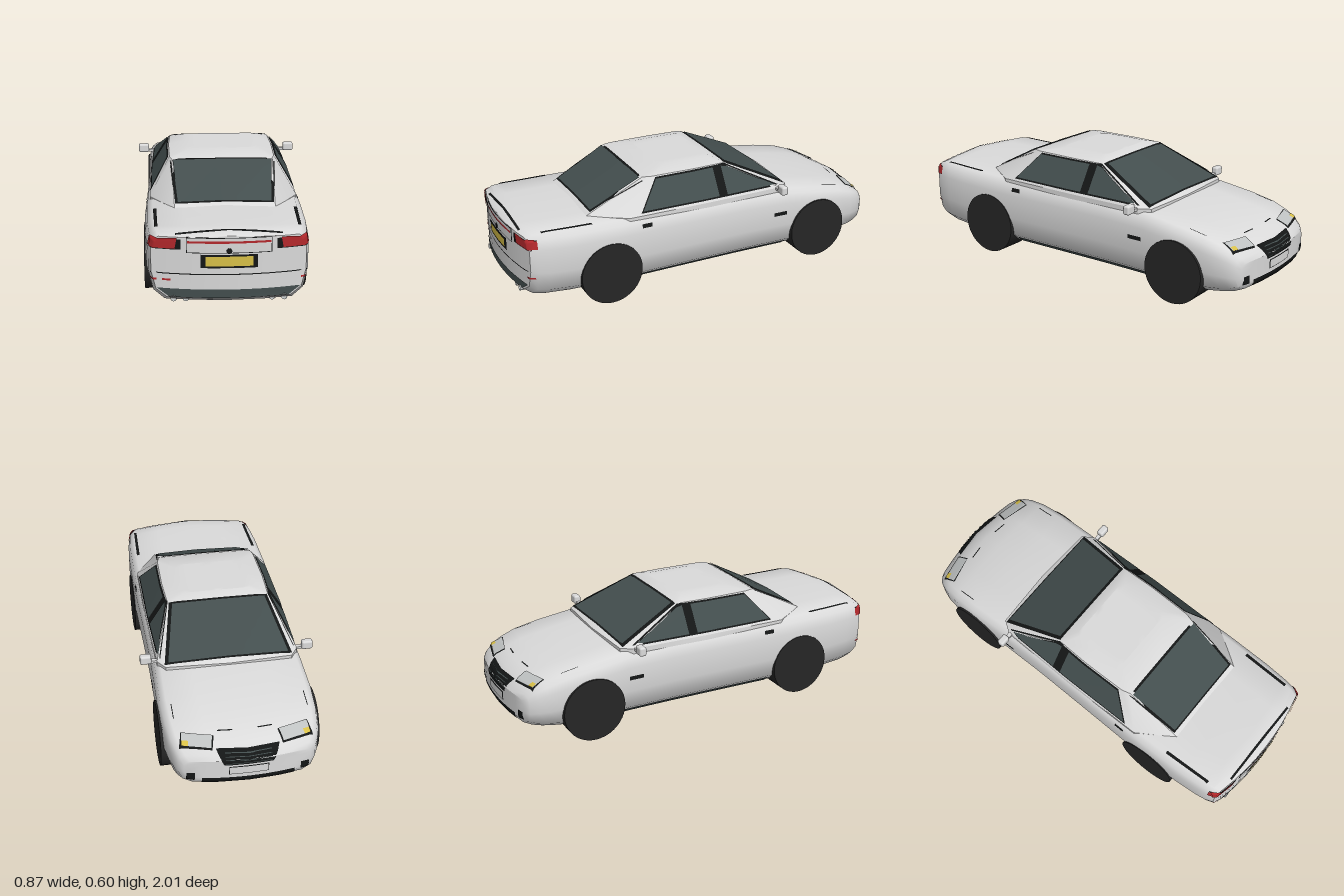
import * as THREE from 'three';
import { mergeGeometries, toCreasedNormals } from 'three/addons/utils/BufferGeometryUtils.js';
import { RoundedBoxGeometry } from 'three/addons/geometries/RoundedBoxGeometry.js';

const paint = (name, color) => {
  const m = new THREE.MeshStandardMaterial({ color, side: THREE.DoubleSide });
  m.name = name;
  return m;
};

// Surface through rows of [x, y, z] points
function grid(rows) {
  const n = rows[0].length, index = [];
  for (let i = 0; i < rows.length - 1; i++)
    for (let j = 0; j < n - 1; j++) {
      const a = i * n + j, d = a + n;
      index.push(a, a + 1, d + 1, a, d + 1, d);
    }
  const g = new THREE.BufferGeometry();
  g.setAttribute('position', new THREE.Float32BufferAttribute(rows.flat(2), 3));
  g.setIndex(index);
  return g;
}

// Closed loop from a half outline that starts and ends on the centre line
const mirrorLoop = half => [...half, ...half.slice(0, -1).reverse().map(([x, y, z]) => [-x, y, z])];

// Row of points across the car between a point and its mirror image
const across = ([x, y, z]) => Array.from({ length: 9 }, (_, k) => [x * (k / 4 - 1), y, z]);

// Rounds the ends of the car in plan
const bow = ([x, y, z]) => {
  const fade = Math.min(1, Math.max(0, (Math.abs(z) - 0.7) / 0.25));
  return [x, y, z - Math.sign(z) * 0.38 * x * x * fade];
};

function bodyGeometry() {
  // z, half width, top, bottom from nose to tail
  const stations = [
    [-1, 0.30, 0.255, 0.14], [-0.985, 0.325, 0.28, 0.115], [-0.95, 0.345, 0.312, 0.1],
    [-0.9, 0.36, 0.335, 0.09], [-0.8, 0.373, 0.365, 0.078], [-0.65, 0.38, 0.39, 0.075],
    [-0.45, 0.376, 0.42, 0.075], [-0.2, 0.373, 0.43, 0.075], [0.1, 0.377, 0.432, 0.075],
    [0.5, 0.384, 0.434, 0.075], [0.75, 0.38, 0.437, 0.08], [0.9, 0.371, 0.44, 0.088],
    [0.965, 0.363, 0.438, 0.1], [1, 0.35, 0.424, 0.125],
  ];
  const halves = stations.map(([z, w, t, b]) => {
    const h = t - b;
    return [
      [0, b], [0.45 * w, b], [0.8 * w, b], [0.94 * w, b + 0.12 * h], [w, b + 0.4 * h],
      [w, t - 0.25 * h], [0.97 * w, t - 0.1 * h], [0.9 * w, t - 0.035 * h],
      [0.5 * w, t - 0.008], [0, t],
    ].map(([x, y]) => [x, y, z]);
  });
  const shell = grid(halves.map(h => mirrorLoop(h).map(bow)));
  const tail = grid(halves.at(-1).map(p => across(p).map(bow)));
  const nose = grid(halves[0].map(p => across(p).map(bow).reverse()));
  return toCreasedNormals(mergeGeometries([shell, tail, nose]), 0.75);
}

function cabinGeometry() {
  const base = [[0, 0.64], [0.24, 0.625], [0.36, 0.44], [0.362, 0.0], [0.352, -0.41], [0.315, -0.465], [0, -0.48]];
  const rail = [[0, 0.33], [0.25, 0.325], [0.262, 0.28], [0.266, 0.05], [0.26, -0.11], [0.245, -0.13], [0, -0.135]];
  const crown = [[0, 0.2], [0.16, 0.2], [0.18, 0.17], [0.185, 0.05], [0.18, -0.06], [0.165, -0.08], [0, -0.08]];
  const lift = (pts, y) => pts.map(([x, z]) => [x, y, z]);
  const halves = [lift(base, 0.37), lift(base, 0.424), lift(rail, 0.58), lift(crown, 0.6)];
  const roof = grid(halves.at(-1).map(across));
  return toCreasedNormals(mergeGeometries([grid(halves.map(mirrorLoop)), roof]), 0.55);
}

export function createModel() {
  const car = new THREE.Group();
  car.name = 'car';
  const body = paint('bodyPaint', 0xdadada), glass = paint('tintedGlass', 0x434e4e);
  const black = paint('blackTrim', 0x141616), rubber = paint('tyreRubber', 0x262626);
  const red = paint('redLens', 0xb4282c), yellow = paint('yellowPlate', 0xd8c048);
  const lens = paint('clearLens', 0xbfc2c2);

  const add = (name, geometry, material, x = 0, y = 0, z = 0) => {
    const m = new THREE.Mesh(geometry, material);
    m.name = name;
    m.position.set(x, y, z);
    car.add(m);
    return m;
  };
  const shells = [add('body', bodyGeometry(), body), add('cabin', cabinGeometry(), body)];

  // Thin patch laid on the shells; corners are (x,y) at the ends, (z,y) on the sides, (x,z) on top
  const views = {
    tail: (u, v) => [[u, v, 3], [0, 0, -1]],
    nose: (u, v) => [[u, v, -3], [0, 0, 1]],
    left: (u, v) => [[3, v, u], [-1, 0, 0]],
    right: (u, v) => [[-3, v, u], [1, 0, 0]],
    top: (u, v) => [[u, 3, v], [0, -1, 0]],
  };
  const ray = new THREE.Raycaster();
  function patch(name, material, view, [a, b, c, d], lift = 0.004, n = 12) {
    const mix = (p, q, t) => [p[0] + (q[0] - p[0]) * t, p[1] + (q[1] - p[1]) * t];
    let last = null;
    const rows = [];
    for (let i = 0; i <= n; i++) {
      const row = [];
      for (let j = 0; j <= n; j++) {
        const [o, dir] = views[view](...mix(mix(a, b, j / n), mix(d, c, j / n), i / n));
        ray.set(new THREE.Vector3(...o), new THREE.Vector3(...dir));
        const hit = ray.intersectObjects(shells)[0];
        if (hit) last = hit.point.clone().addScaledVector(hit.face.normal, lift).toArray();
        row.push(last ?? [o[0] + 3 * dir[0], o[1] + 3 * dir[1], o[2] + 2 * dir[2]]);
      }
      rows.push(row);
    }
    const g = grid(rows);
    g.computeVertexNormals();
    add(name, g, material);
  }
  const rect = (u0, u1, v0, v1) => [[u0, v0], [u1, v0], [u1, v1], [u0, v1]];
  const flip = (pts, s) => pts.map(([u, v]) => [u * s, v]);

  // Windscreen and rear window with black surrounds
  patch('windscreenFrame', black, 'top', [[-0.318, -0.452], [0.318, -0.452], [0.252, -0.128], [-0.252, -0.128]], 0.003);
  patch('windscreen', glass, 'top', [[-0.3, -0.444], [0.3, -0.444], [0.238, -0.14], [-0.238, -0.14]], 0.006);
  patch('rearWindowFrame', black, 'top', [[-0.258, 0.326], [0.258, 0.326], [0.236, 0.6], [-0.236, 0.6]], 0.003);
  patch('rearWindow', glass, 'top', [[-0.246, 0.336], [0.246, 0.336], [0.224, 0.592], [-0.224, 0.592]], 0.006);

  // Tail panel, number plate and bumper
  patch('bootPanelGap', black, 'tail', rect(-0.192, 0.192, 0.341, 0.415), 0.002);
  patch('bootPanel', body, 'tail', rect(-0.188, 0.188, 0.345, 0.412), 0.004);
  patch('redStrip', red, 'tail', rect(-0.186, 0.186, 0.389, 0.399), 0.006);
  patch('bootLip', black, 'top', rect(-0.24, 0.24, 0.957, 0.968), 0.003);
  patch('plateSurround', black, 'tail', rect(-0.127, 0.127, 0.272, 0.336), 0.005);
  patch('rearPlate', yellow, 'tail', rect(-0.106, 0.106, 0.282, 0.328), 0.008);
  patch('bumperSeam', black, 'tail', rect(-0.352, 0.352, 0.238, 0.243), 0.003, 16);
  patch('rearValance', glass, 'tail', [[-0.27, 0.128], [0.27, 0.128], [0.325, 0.168], [-0.325, 0.168]]);
  patch('extraReflector', red, 'tail', rect(-0.3, -0.262, 0.206, 0.215));
  add('bootLock', new THREE.CylinderGeometry(0.013, 0.013, 0.012, 16).rotateX(Math.PI / 2), black, 0, 0.353, 1);

  // Nose
  patch('grille', black, 'nose', [[-0.115, 0.228], [0.115, 0.228], [0.15, 0.296], [-0.15, 0.296]]);
  for (let k = 0; k < 4; k++)
    patch('grilleBar', glass, 'nose', rect(-0.11, 0.11, 0.237 + k * 0.014, 0.24 + k * 0.014), 0.007);
  patch('frontPlateEdge', black, 'nose', rect(-0.094, 0.094, 0.172, 0.218), 0.003);
  patch('frontPlate', body, 'nose', rect(-0.09, 0.09, 0.175, 0.215), 0.006);
  patch('lowerIntake', black, 'nose', rect(-0.22, 0.22, 0.122, 0.155));

  for (const s of [1, -1]) {
    const side = s > 0 ? 'left' : 'right';
    // Side glass, pillar and door details
    patch('sideWindowFrame', black, side, [[0.378, 0.434], [-0.408, 0.434], [-0.122, 0.577], [0.262, 0.574]], 0.003);
    patch('rearSideWindow', glass, side, [[0.366, 0.441], [-0.055, 0.441], [-0.055, 0.568], [0.262, 0.566]], 0.006);
    patch('frontSideWindow', glass, side, [[-0.102, 0.441], [-0.382, 0.441], [-0.135, 0.562], [-0.102, 0.568]], 0.006);
    patch('doorHandle', black, side, rect(0.33, 0.383, 0.367, 0.387));
    patch('wingVent', black, side, rect(-0.445, -0.368, 0.274, 0.294));
    patch('sill', glass, side, rect(-0.46, 0.375, 0.079, 0.112));

    // Lamps
    patch('tailLightBack', black, 'tail', flip(rect(0.215, 0.352, 0.356, 0.405), s), 0.003);
    patch('tailLight', red, 'tail', flip([[0.242, 0.361], [0.352, 0.361], [0.348, 0.405], [0.232, 0.412]], s), 0.007);
    patch('tailLightSide', red, side, rect(0.915, 0.945, 0.362, 0.402));
    patch('reflector', red, 'tail', flip(rect(0.325, 0.352, 0.206, 0.215), s));
    const lamp = [[0.15, -0.895], [0.3, -0.855], [0.315, -0.922], [0.165, -0.955]];
    patch('headlightEdge', black, 'top', flip(lamp, s), 0.003);
    patch('headlight', lens, 'top', flip([[0.157, -0.893], [0.297, -0.86], [0.305, -0.915], [0.17, -0.947]], s), 0.006);
    patch('indicator', yellow, 'top', flip([[0.27, -0.902], [0.301, -0.895], [0.305, -0.915], [0.275, -0.923]], s), 0.009);
    patch('fogLight', black, 'nose', flip(rect(0.25, 0.29, 0.145, 0.185), s));

    // Panel gaps on the boot and bonnet
    patch('bootGap', black, 'top', flip([[0.326, 0.63], [0.342, 0.63], [0.332, 0.885], [0.318, 0.885]], s), 0.003);
    patch('bonnetGap', black, 'top', flip(rect(0.319, 0.323, -0.78, -0.69), s), 0.003);
    patch('washer', black, 'top', flip([[0.06, -0.878], [0.13, -0.87], [0.13, -0.876], [0.06, -0.884]], s), 0.003);

    // Door mirror and its arm
    add('doorMirror', new RoundedBoxGeometry(0.056, 0.046, 0.036, 3, 0.01), body, s * 0.407, 0.434, -0.395);
    add('mirrorArm', new THREE.BoxGeometry(0.06, 0.014, 0.02), body, s * 0.365, 0.42, -0.395);

    // Twin exhaust pipes
    for (const x of [0.195, 0.25])
      add('exhaustPipe', new THREE.CylinderGeometry(0.014, 0.014, 0.06, 14, 1, true).rotateX(Math.PI / 2),
        lens, s * x, 0.121, 0.955);

    // Wheels
    for (const z of [0.55, -0.635])
      add('wheel', new THREE.CylinderGeometry(0.16, 0.16, 0.152, 40).rotateZ(Math.PI / 2), rubber, s * 0.311, 0.16, z);
  }
  return car;
}
